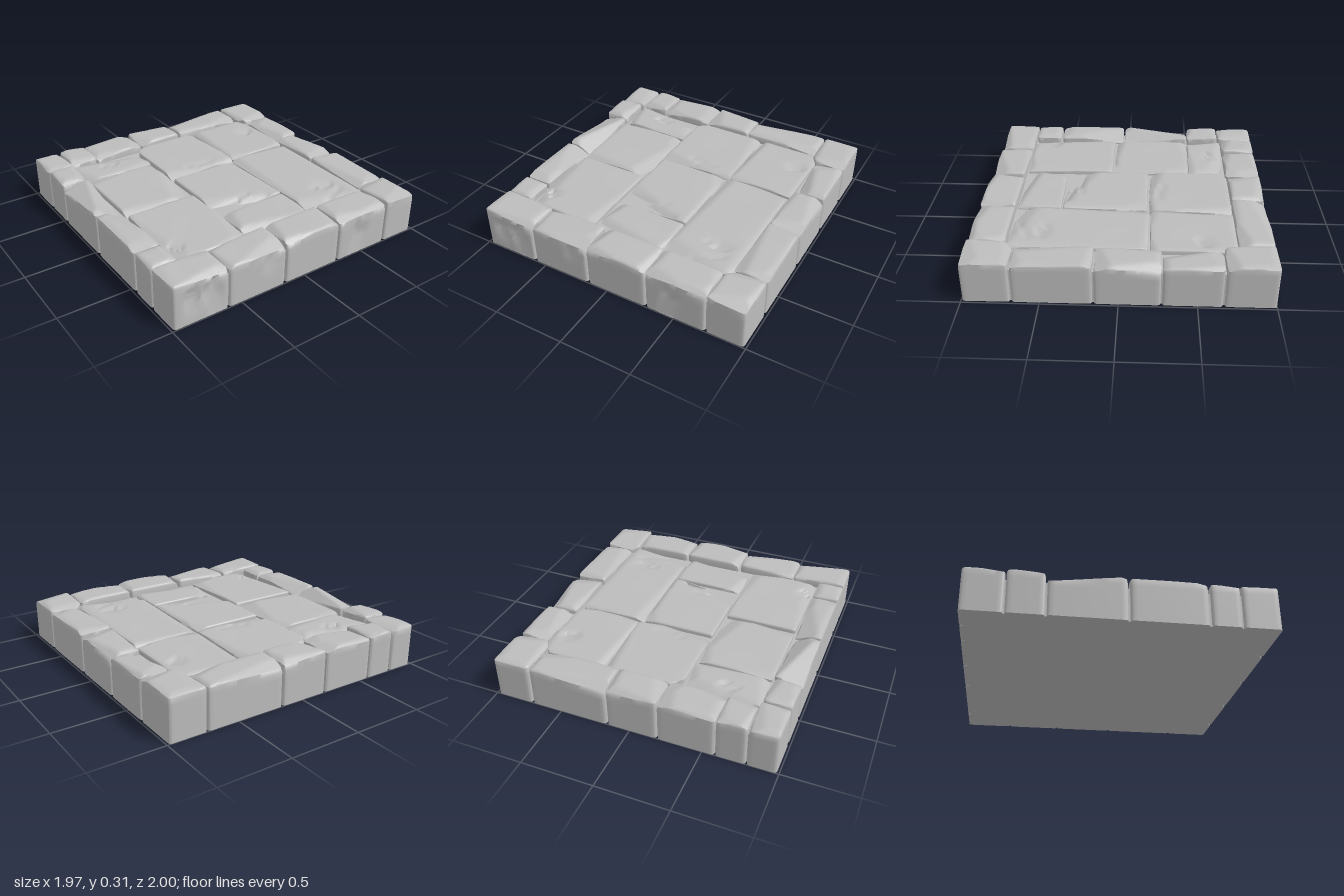
import * as THREE from 'three';
import { toCreasedNormals } from 'three/addons/utils/BufferGeometryUtils.js';

const stoneGrey = new THREE.MeshStandardMaterial({ color: 0xbcbcbc });
stoneGrey.name = 'stone grey';

// small seeded random generator
function seeded(seed) {
  let s = seed * 7919 + 17;
  return () => {
    s = (s * 16807) % 2147483647;
    return s / 2147483647;
  };
}

// outer ring of stones: x0, x1, z0, z1, height, tilt along x, tilt along z, inner corner cut [nx, nz, x, z]
const BORDER = [
  // back row
  [-0.985, -0.79, -1, -0.735, 0.305, 0, 0],
  [-0.785, -0.585, -1, -0.755, 0.302, 0, -0.02],
  [-0.58, -0.195, -1, -0.755, 0.298, 0.02, -0.02],
  [-0.188, 0.157, -1, -0.765, 0.303, 0, 0],
  [0.165, 0.718, -1, -0.765, 0.3, -0.01, 0.02],
  [0.725, 0.985, -1, -0.67, 0.303, 0.02, 0, [-0.85, 0.53, 0.745, -0.7]],
  // model's left column
  [0.775, 0.985, -0.66, -0.277, 0.288, 0, -0.035],
  [0.765, 0.985, -0.267, 0.155, 0.287, 0, 0.005],
  [0.757, 0.985, 0.165, 0.678, 0.29, 0, -0.02],
  [0.725, 0.985, 0.688, 0.995, 0.3, 0.02, 0.06, [-0.7, -0.71, 0.75, 0.715]],
  // front row
  [-0.985, -0.595, 0.75, 0.995, 0.303, -0.02, 0],
  [-0.587, -0.158, 0.75, 0.995, 0.296, 0.045, 0],
  [-0.148, 0.288, 0.745, 0.995, 0.304, 0, 0],
  [0.297, 0.717, 0.745, 0.995, 0.302, -0.01, 0],
  // model's right column
  [-0.985, -0.8, -0.727, -0.485, 0.31, 0, 0],
  [-0.985, -0.797, -0.475, 0.025, 0.308, 0, 0.015],
  [-0.985, -0.797, 0.037, 0.535, 0.305, -0.03, -0.01],
  [-0.985, -0.797, 0.547, 0.742, 0.3, 0, 0],
];

// recessed floor slabs, same layout
const FLOOR = [
  [-0.787, -0.27, -0.748, -0.482, 0.272, 0, 0.01],
  [-0.787, -0.27, -0.47, 0.085, 0.27, 0, 0],
  [-0.785, -0.272, 0.1, 0.74, 0.27, 0, 0],
  [-0.26, 0.285, -0.758, -0.185, 0.272, 0, 0, [-0.78, -0.62, -0.235, -0.715]],
  [0.29, 0.765, -0.762, -0.195, 0.27, 0, 0, [0.7, -0.71, 0.735, -0.73]],
  [-0.258, 0.262, -0.17, 0.42, 0.268, 0, 0],
  [-0.258, 0.257, 0.433, 0.735, 0.266, 0, 0],
  [0.268, 0.75, -0.182, 0.738, 0.27, 0, 0],
];

// sloping chips: centre u, v, half sizes, turn, depth
const TOP_CHIPS = [
  [-0.53, -0.66, 0.06, 0.05, 0.4, 0.022],
  [0.65, -0.56, 0.065, 0.055, -0.5, 0.022],
  [0.59, 0.51, 0.055, 0.05, 0.3, 0.022],
  [0.49, 0.5, 0.035, 0.03, -0.4, 0.015],
  [-0.7, 0.58, 0.05, 0.04, 0.9, 0.022],
  [-0.1, 0.315, 0.16, 0.024, -0.06, 0.02],
  [-0.04, 0.375, 0.21, 0.03, 0.06, 0.022],
  [0.02, -0.27, 0.11, 0.03, 0.2, 0.016],
  [0.55, 0.64, 0.12, 0.03, -0.45, 0.014],
];
const FRONT_CHIPS = [
  [-0.85, 0.14, 0.05, 0.09, 0.15, 0.025],
  [-0.7, 0.12, 0.06, 0.12, 0.35, 0.022],
  [0.46, 0.09, 0.06, 0.11, -0.3, 0.02],
  [-0.25, 0.2, 0.06, 0.06, 0.6, 0.014],
];

function chipDepth(chips, u, v) {
  let depth = 0;
  for (const [cu, cv, a, b, turn, deep] of chips) {
    const c = Math.cos(turn), s = Math.sin(turn);
    const p = ((u - cu) * c + (v - cv) * s) / a;
    const q = ((v - cv) * c - (u - cu) * s) / b;
    if (Math.abs(p) < 1 && Math.abs(q) < 1) depth += deep * (0.55 + 0.45 * q);
  }
  return depth;
}

// grid line positions: bevel rings at the ends, even steps between
function ringStep(i, n, length, r) {
  if (i === 0) return 0;
  if (i === n) return length;
  if (i === 1) return r * 0.4;
  if (i === n - 1) return length - r * 0.4;
  return r + ((length - 2 * r) * (i - 2)) / (n - 4);
}

// one worn block: rounded top and upright edges, flat base, hewn facets and chips
function stone([x0, x1, z0, z1, h, tiltX, tiltZ, cut], seed, r, wear) {
  const rand = seeded(seed);
  const w = x1 - x0, d = z1 - z0;
  const nx = Math.round(w / 0.026) + 4, nz = Math.round(d / 0.026) + 4, ny = 9;
  const geo = new THREE.BoxGeometry(1, 1, 1, nx, ny, nz);
  geo.deleteAttribute('uv');
  const cx = (x0 + x1) / 2, cz = (z0 + z1) / 2;

  // planes that shave the upper edges, plus the inner corner cut
  const planes = [];
  for (let k = 0; k < 6; k++) {
    const side = k % 4, sign = side < 2 ? 1 : -1, alongX = side % 2 === 0;
    const skew = (rand() - 0.5) * 0.3, lean = 0.25 + rand() * 0.5;
    const n = alongX ? new THREE.Vector3(sign * lean, 1, skew) : new THREE.Vector3(skew, 1, sign * lean);
    n.normalize();
    const edge = alongX
      ? new THREE.Vector3(sign > 0 ? x1 : x0, h, cz + (rand() - 0.5) * d)
      : new THREE.Vector3(cx + (rand() - 0.5) * w, h, sign > 0 ? z1 : z0);
    planes.push(new THREE.Plane(n, -n.dot(edge) + wear * (0.5 + rand())));
  }
  if (cut) {
    const n = new THREE.Vector3(cut[0], 0, cut[1]).normalize();
    planes.push(new THREE.Plane(n, -(n.x * cut[2] + n.z * cut[3])));
  }

  const pos = geo.attributes.position;
  const p = new THREE.Vector3(), core = new THREE.Vector3();
  const phase = rand() * 6;
  for (let i = 0; i < pos.count; i++) {
    const j = Math.round((pos.getY(i) + 0.5) * ny);
    p.set(
      x0 + ringStep(Math.round((pos.getX(i) + 0.5) * nx), nx, w, r),
      j === ny ? h : j === ny - 1 ? h - r * 0.4 : ((h - r) * j) / (ny - 2),
      z0 + ringStep(Math.round((pos.getZ(i) + 0.5) * nz), nz, d, r)
    );
    const chipTop = j === ny ? chipDepth(TOP_CHIPS, p.x, p.z) : 0;
    const chipFront = p.z > 0.994 ? chipDepth(FRONT_CHIPS, p.x, p.y) : 0;
    // round the edges
    core.set(
      THREE.MathUtils.clamp(p.x, x0 + r, x1 - r),
      Math.min(p.y, h - r),
      THREE.MathUtils.clamp(p.z, z0 + r, z1 - r)
    );
    p.sub(core);
    if (p.lengthSq() > 1e-12) p.setLength(r);
    p.add(core);
    // hew
    for (const plane of planes) {
      const over = plane.distanceToPoint(p);
      if (over > 0 && p.y > 0) p.addScaledVector(plane.normal, -over);
      else if (over > 0 && plane.normal.y === 0) p.addScaledVector(plane.normal, -over);
    }
    // tilt and gentle unevenness
    const rise = p.y / h;
    const bump = Math.sin(p.x * 11 + phase) * Math.sin(p.z * 9 + phase * 2) * 0.1 * wear;
    p.y += rise * (tiltX * (p.x - cx) + tiltZ * (p.z - cz) + bump) - chipTop;
    p.z -= chipFront;
    pos.setXYZ(i, p.x, p.y, p.z);
  }
  return new THREE.Mesh(toCreasedNormals(geo, 0.9), stoneGrey);
}

export function createModel() {
  const model = new THREE.Group();
  model.name = 'stonePlatform';

  // solid bed that closes the joints
  const bed = new THREE.Mesh(new THREE.BoxGeometry(1.93, 0.235, 1.95), stoneGrey);
  bed.name = 'bed';
  bed.position.y = 0.1175;
  model.add(bed);

  const rows = [
    ['borderStone', BORDER, 0.02, 0.013, 1],
    ['floorSlab', FLOOR, 0.011, 0.005, 50],
  ];
  for (const [name, list, r, wear, seed] of rows) {
    const group = new THREE.Group();
    group.name = name + 's';
    list.forEach((spec, i) => {
      const mesh = stone(spec, seed + i, r, wear);
      mesh.name = name + (i + 1);
      group.add(mesh);
    });
    model.add(group);
  }
  return model;
}
